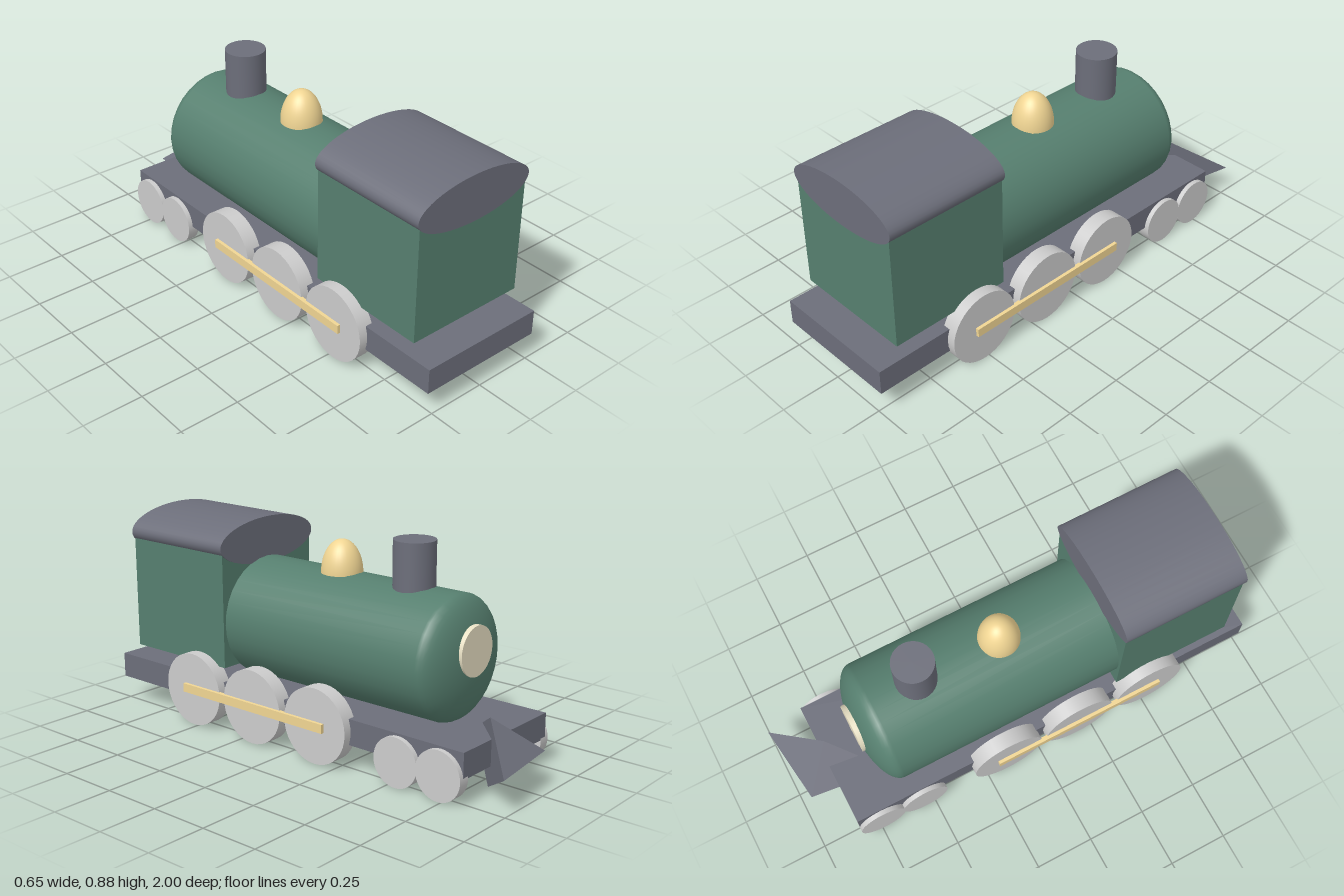
import * as THREE from 'three';

const paint = (color) => new THREE.MeshStandardMaterial({ color });
const green = paint(0x567f6f);
const slate = paint(0x6c6e7a);
const brass = paint(0xf0d593);
const cream = paint(0xe8e0c4);
const grey = paint(0xcccccc);

export function createModel() {
  const model = new THREE.Group();

  const add = (name, geometry, material, x = 0, y = 0, z = 0) => {
    const mesh = new THREE.Mesh(geometry, material);
    mesh.name = name;
    mesh.position.set(x, y, z);
    model.add(mesh);
    return mesh;
  };
  const box = (name, material, w, h, d, x, y, z) =>
    add(name, new THREE.BoxGeometry(w, h, d), material, x, y, z);

  // Running board
  box('runningBoard', slate, 0.55, 0.106, 1.835, 0, 0.158, 0.0825);

  // Cab, raised slightly off the running board, with an oval roof
  box('cab', green, 0.526, 0.49, 0.528, 0, 0.513, 0.641);
  const roof = new THREE.CylinderGeometry(1, 1, 0.536, 48).rotateX(Math.PI / 2).scale(0.275, 0.0965, 1);
  add('cabRoof', roof, slate, 0, 0.772, 0.641);

  // Boiler: a straight barrel ending in a shallow domed nose toward -z
  const radius = 0.252;
  const profile = [new THREE.Vector2(radius, -0.38)];
  for (let i = 0; i <= 12; i++) {
    const a = (i / 12) * Math.PI / 2;
    profile.push(new THREE.Vector2(radius * Math.cos(a), 0.59 + 0.1 * Math.sin(a)));
  }
  profile[profile.length - 1].x = 0;
  add('boiler', new THREE.LatheGeometry(profile, 32).rotateX(-Math.PI / 2), green, 0, 0.45, 0);
  add('boilerBackPlate', new THREE.CircleGeometry(radius, 32), green, 0, 0.45, 0.38);

  // Round plate on the nose
  add('nosePlate', new THREE.CylinderGeometry(0.1, 0.1, 0.04, 32).rotateX(Math.PI / 2), cream, 0, 0.495, -0.673);

  // Chimney and steam dome
  add('chimney', new THREE.CylinderGeometry(0.084, 0.084, 0.24, 32), slate, 0, 0.76, -0.395);
  const dome = new THREE.SphereGeometry(0.085, 32, 16, 0, Math.PI * 2, 0, Math.PI / 2).scale(1, 1.6, 1);
  add('steamDome', dome, brass, 0, 0.694, -0.035);

  // Wheels and coupling rods on both sides
  for (const [side, s] of [['left', 1], ['right', -1]]) {
    const wheel = (name, r, width, x, z) =>
      add(name, new THREE.CylinderGeometry(r, r, width, 36).rotateZ(Math.PI / 2), grey, s * x, r, z);
    [0.52, 0.182, -0.155].forEach((z, i) => wheel(`${side}DrivingWheel${i + 1}`, 0.156, 0.066, 0.278, z));
    [-0.54, -0.735].forEach((z, i) => wheel(`${side}LeadingWheel${i + 1}`, 0.101, 0.05, 0.27, z));
    box(`${side}CouplingRod`, brass, 0.02, 0.037, 0.77, s * 0.315, 0.159, 0.18);
  }

  // Skewed four-sided pyramid under the nose, its base standing on a diagonal
  const pyramid = new THREE.ConeGeometry(1, 1, 4).translate(0, 0.5, 0);
  pyramid.applyMatrix4(new THREE.Matrix4().makeBasis(
    new THREE.Vector3(0, 0.1375, 0),
    new THREE.Vector3(-0.15, 0, -0.147),
    new THREE.Vector3(-0.19, 0, 0.19),
  ));
  const plough = pyramid.toNonIndexed();
  plough.computeVertexNormals();
  add('trackPlough', plough, slate, 0.075, 0.146, -0.81);

  return model;
}
